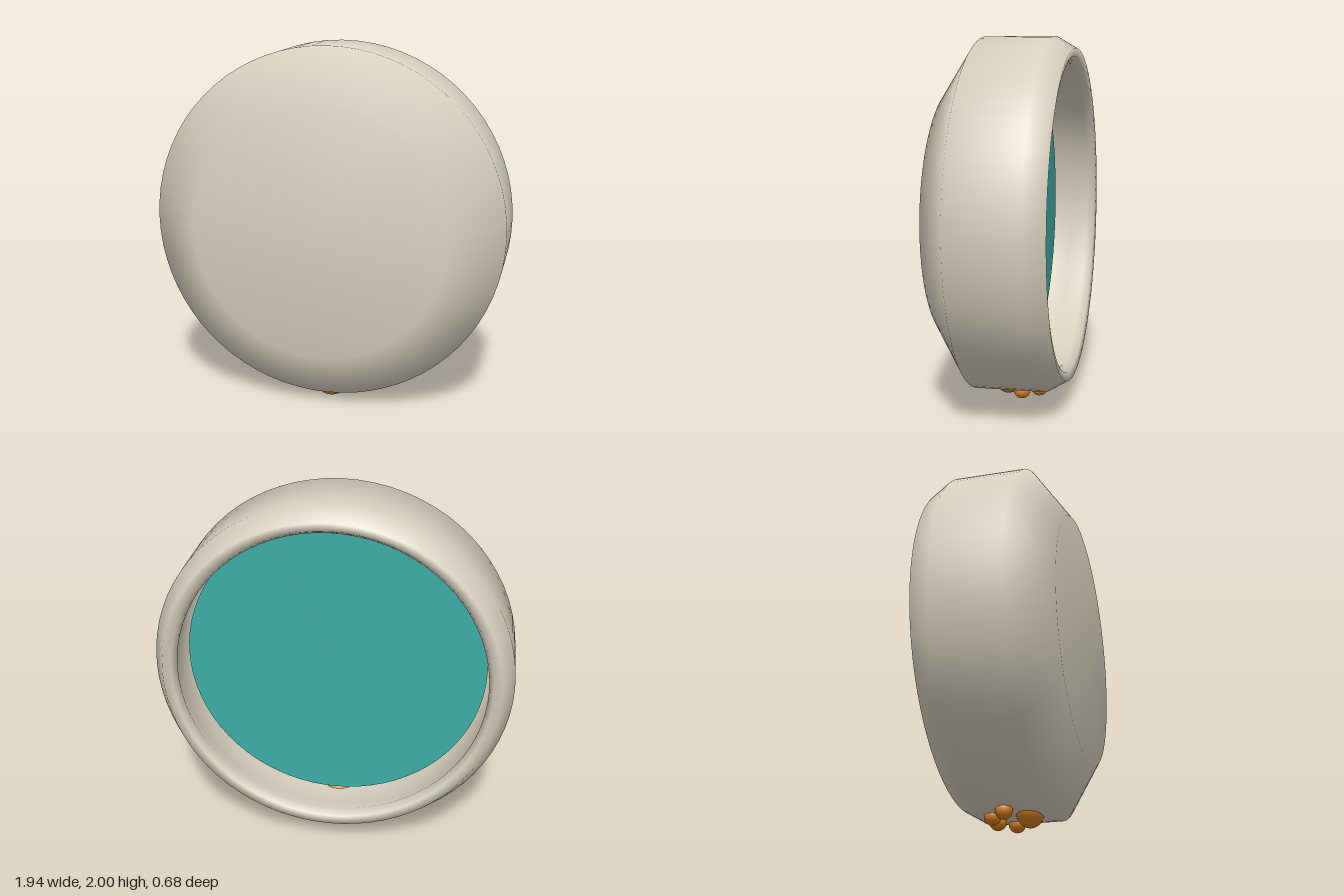
import * as THREE from 'three';

const CENTER_Y = 1.03;

export function createModel() {
  const model = new THREE.Group();
  model.name = 'petBowl';

  const cream = new THREE.MeshStandardMaterial({ color: 0xd8d0be });
  cream.name = 'cream';
  const teal = new THREE.MeshStandardMaterial({ color: 0x3caca4 });
  teal.name = 'teal';
  const orange = new THREE.MeshStandardMaterial({ color: 0xd4801f });
  orange.name = 'orange';

  const add = (name, geometry, material, x, y, z) => {
    const mesh = new THREE.Mesh(geometry, material);
    mesh.name = name;
    mesh.position.set(x, y, z);
    model.add(mesh);
    return mesh;
  };

  // Bowl turned on its side: [radius, z], from the inside floor over the rim to the base
  const profile = [
    [0, 0.24], [0.66, 0.24], [0.86, 0.12], [0.89, 0], [0.875, -0.18],
    [0.835, -0.287], [0.86, -0.33], [0.905, -0.34],
    [0.97, -0.23], [0.97, 0.15], [0.69, 0.34], [0, 0.34],
  ].map(([r, z]) => new THREE.Vector2(r, z));
  const bowl = new THREE.LatheGeometry(profile, 72).rotateX(Math.PI / 2);
  add('bowl', bowl, cream, 0, CENTER_Y, 0);

  // Round filling set back inside the opening
  const filling = new THREE.CylinderGeometry(0.825, 0.825, 0.06, 72).rotateX(Math.PI / 2);
  add('filling', filling, teal, 0, CENTER_Y, -0.06);

  // Paw emblem on the lower side: one wide pad and four toes
  const ball = new THREE.SphereGeometry(1, 24, 16);
  add('pawPad', ball, orange, 0, 0.09, 0.033).scale.set(0.1, 0.09, 0.075);
  for (const side of [-1, 1]) {
    add('outerToe', ball, orange, side * 0.135, 0.06, -0.07).scale.set(0.046, 0.046, 0.046);
    add('innerToe', ball, orange, side * 0.052, 0.056, -0.153).scale.set(0.046, 0.046, 0.046);
  }

  return model;
}
